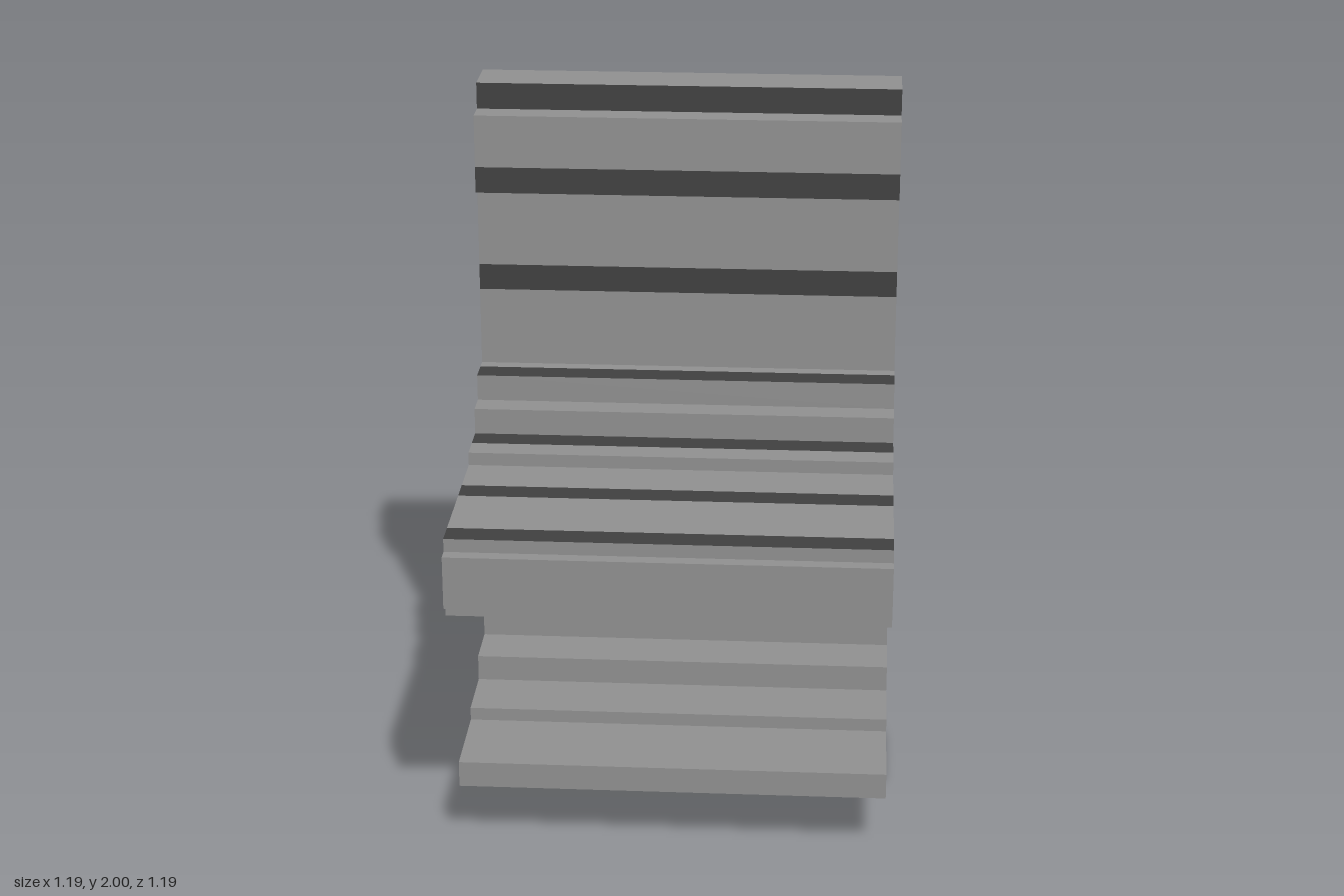
import * as THREE from 'three';

const U = 2 / 54;      // one step of the stepped profile
const W = 16 * U;      // half the seat width

const mat = (name, color, side = THREE.FrontSide) => {
  const m = new THREE.MeshStandardMaterial({ color });
  m.name = name;
  return m;
};

// Ribbon of flat quads spanning the width along a run of [z, y] points
function ribbon(points) {
  const pos = [];
  for (let i = 0; i < points.length - 1; i++) {
    const [az, ay] = points[i].map(v => v * U);
    const [bz, by] = points[i + 1].map(v => v * U);
    const A = [-W, ay, az], B = [-W, by, bz], C = [W, by, bz], D = [W, ay, az];
    pos.push(...A, ...B, ...C, ...A, ...C, ...D);
  }
  const g = new THREE.BufferGeometry();
  g.setAttribute('position', new THREE.Float32BufferAttribute(pos, 3));
  g.computeVertexNormals();
  return g;
}

export function createModel() {
  const group = new THREE.Group();
  const shell = mat('shellBlue', 0x4a5570);
  const pad = mat('padGrey', 0x909090);
  const stripe = mat('stripeDark', 0x404040);
  const pale = mat('paleGrey', 0xc8c8c8);

  // Profile runs, going up the back, over the top and down the front;
  // each run continues from the end of the one before
  const runs = [
    ['backShell', shell, [[-9, 0], [-9, 2], [-11, 2], [-11, 10], [-13, 10], [-13, 18], [-15, 18],
      [-15, 30], [-16, 30], [-16, 46], [-15, 46], [-15, 52], [-13, 52]]],
    ['headrestTop', pad, [[-13, 54], [-9, 54]]],
    ['headrestStripe', stripe, [[-9, 52]]],
    ['headrestPad', pad, [[-7, 52], [-7, 48]]],
    ['neckStripe', stripe, [[-7, 46]]],
    ['upperBackrest', pad, [[-8, 46], [-8, 40]]],
    ['backrestStripe', stripe, [[-8, 38]]],
    ['lowerBackrest', pad, [[-8, 32], [-7, 32]]],
    ['lumbarStripe', stripe, [[-5, 32]]],
    ['lumbarSteps', pad, [[-5, 30], [-3, 30], [-3, 28]]],
    ['rearSeatStripe', stripe, [[-1, 28]]],
    ['rearSeat', pad, [[1, 28], [1, 27], [5, 27]]],
    ['middleSeatStripe', stripe, [[7, 27]]],
    ['frontSeat', pad, [[13, 27]]],
    ['frontSeatStripe', stripe, [[15, 27]]],
    ['seatLip', pad, [[15, 26], [16, 26], [16, 22], [15, 22], [15, 21], [13, 21]]],
    ['lipBack', pale, [[13, 22]]],
    ['frontSeatUnderside', pad, [[9, 22]]],
    ['undersideStep', pale, [[9, 23]]],
    ['undersideAndFootrest', pad, [[5, 23], [5, 21], [1, 21], [1, 20], [-3, 20], [-3, 18], [-5, 18],
      [-5, 10], [-1, 10], [-1, 8], [4, 8], [4, 7], [11, 7], [11, 5]]],
    ['footrestUndersideAndBase', pale, [[-3, 5], [-3, 2], [-1, 2], [-1, 0]]],
  ];

  const outline = [];
  let last = [-1, 0];
  for (const [name, material, points] of runs) {
    const mesh = new THREE.Mesh(ribbon([last, ...points]), material);
    mesh.name = name;
    group.add(mesh);
    outline.push(...points);
    last = points[points.length - 1];
  }

  // Flat side panels closing both ends
  for (const s of [1, -1]) {
    const shape = new THREE.Shape(outline.map(([z, y]) => new THREE.Vector2(-s * z * U, y * U)));
    const panel = new THREE.Mesh(new THREE.ShapeGeometry(shape), shell);
    panel.rotation.y = s * Math.PI / 2;
    panel.position.x = s * W;
    panel.name = s > 0 ? 'leftSidePanel' : 'rightSidePanel';
    group.add(panel);
  }
  return group;
}
